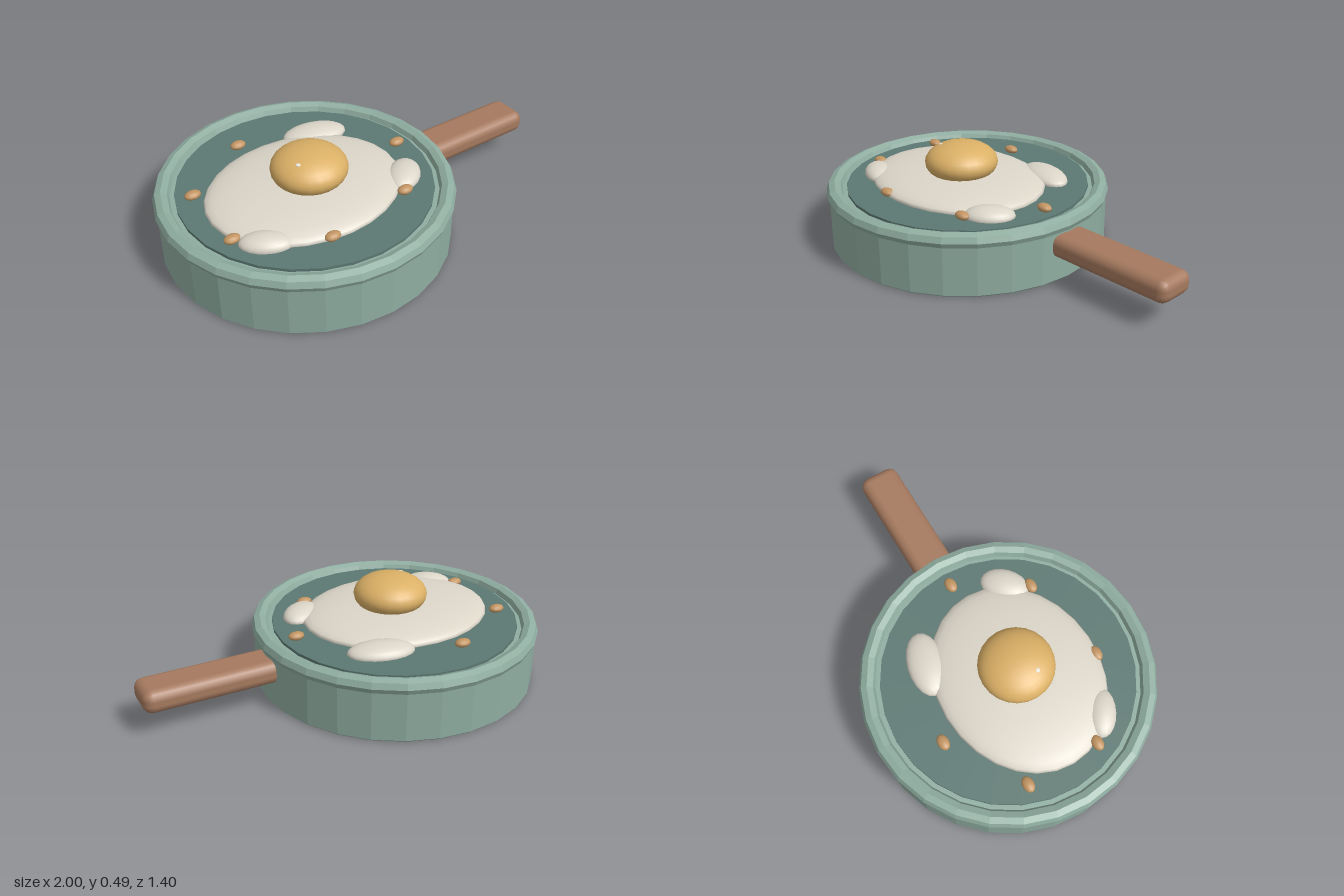
import * as THREE from 'three';
import { RoundedBoxGeometry } from 'three/addons/geometries/RoundedBoxGeometry.js';

const paint = (name, color) => {
  const m = new THREE.MeshStandardMaterial({ color });
  m.name = name;
  return m;
};

// Facet a geometry so every face keeps its own normal
function faceted(geometry) {
  const g = geometry.index ? geometry.toNonIndexed() : geometry;
  g.computeVertexNormals();
  return g;
}

export function createModel() {
  const green = paint('sage enamel', 0x8fada0);
  const teal = paint('dark teal', 0x5c7872);
  const wood = paint('brown wood', 0xa67a5f);
  const white = paint('egg white', 0xdcd6c9);
  const yellow = paint('yolk yellow', 0xdbb066);
  const tan = paint('golden tan', 0xc39562);
  const shine = paint('shine white', 0xf4efe4);

  const model = new THREE.Group();
  const SIDES = 28;
  const PAN_X = -0.3;

  function add(name, geometry, material, x, y, z, parent = model) {
    const mesh = new THREE.Mesh(geometry, material);
    mesh.name = name;
    mesh.position.set(x, y, z);
    parent.add(mesh);
    return mesh;
  }

  // Ellipsoid with radii (rx, ry, rz), turned about the vertical
  function blob(name, material, [x, y, z], [rx, ry, rz], turn = 0, w = 24, h = 16, parent = model) {
    const g = new THREE.SphereGeometry(1, w, h).scale(rx, ry, rz);
    const mesh = add(name, g, material, x, y, z, parent);
    mesh.rotation.y = turn;
    return mesh;
  }

  // Pan body with a tiny bevel at the foot
  const profile = [[0, 0], [0.683, 0], [0.69, 0.007], [0.69, 0.272], [0, 0.272]];
  const body = new THREE.LatheGeometry(profile.map(([r, y]) => new THREE.Vector2(r, y)), SIDES);
  add('panBody', faceted(body), green, PAN_X, 0, 0);

  // Rolled rim and cooking surface
  const rim = new THREE.TorusGeometry(0.66, 0.04, 8, SIDES).rotateX(-Math.PI / 2);
  add('panRim', faceted(rim), green, PAN_X, 0.268, 0);
  add('cookingSurface', faceted(new THREE.CylinderGeometry(0.6, 0.6, 0.02, SIDES)), teal, PAN_X, 0.276, 0);

  // Handle
  add('handle', new RoundedBoxGeometry(0.66, 0.112, 0.2, 2, 0.045), wood, 0.67, 0.18, 0);

  // Fried egg: main white, three lobes, yolk and its glint
  const egg = new THREE.Group();
  egg.name = 'friedEgg';
  model.add(egg);
  blob('eggWhite', white, [-0.33, 0.29, 0.04], [0.475, 0.066, 0.39], 0, 28, 16, egg);
  const lobes = [
    [-0.055, -0.3, 0.16, 0.09, -0.25],
    [0.1, 0.225, 0.12, 0.08, 0.75],
    [-0.67, 0.275, 0.12, 0.07, -0.55],
  ];
  for (const [x, z, rx, rz, turn] of lobes) {
    blob('eggWhiteLobe', white, [x, 0.29, z], [rx, 0.045, rz], turn, 20, 12, egg);
  }
  blob('yolk', yellow, [-0.3, 0.395, 0.04], [0.18, 0.097, 0.18], 0, 24, 16, egg);
  blob('yolkGlint', shine, [-0.385, 0.471, 0.092], [0.016, 0.006, 0.014], 0, 10, 6, egg);

  // Crumbs scattered around the egg
  const crumbs = [[-0.42, -0.42], [-0.78, -0.19], [0.23, 0], [0.03, 0.33], [-0.78, 0.18], [-0.42, 0.41]];
  for (const [x, z] of crumbs) {
    blob('crumb', tan, [x, 0.3, z], [0.04, 0.02, 0.028], 0, 12, 8);
  }

  return model;
}
